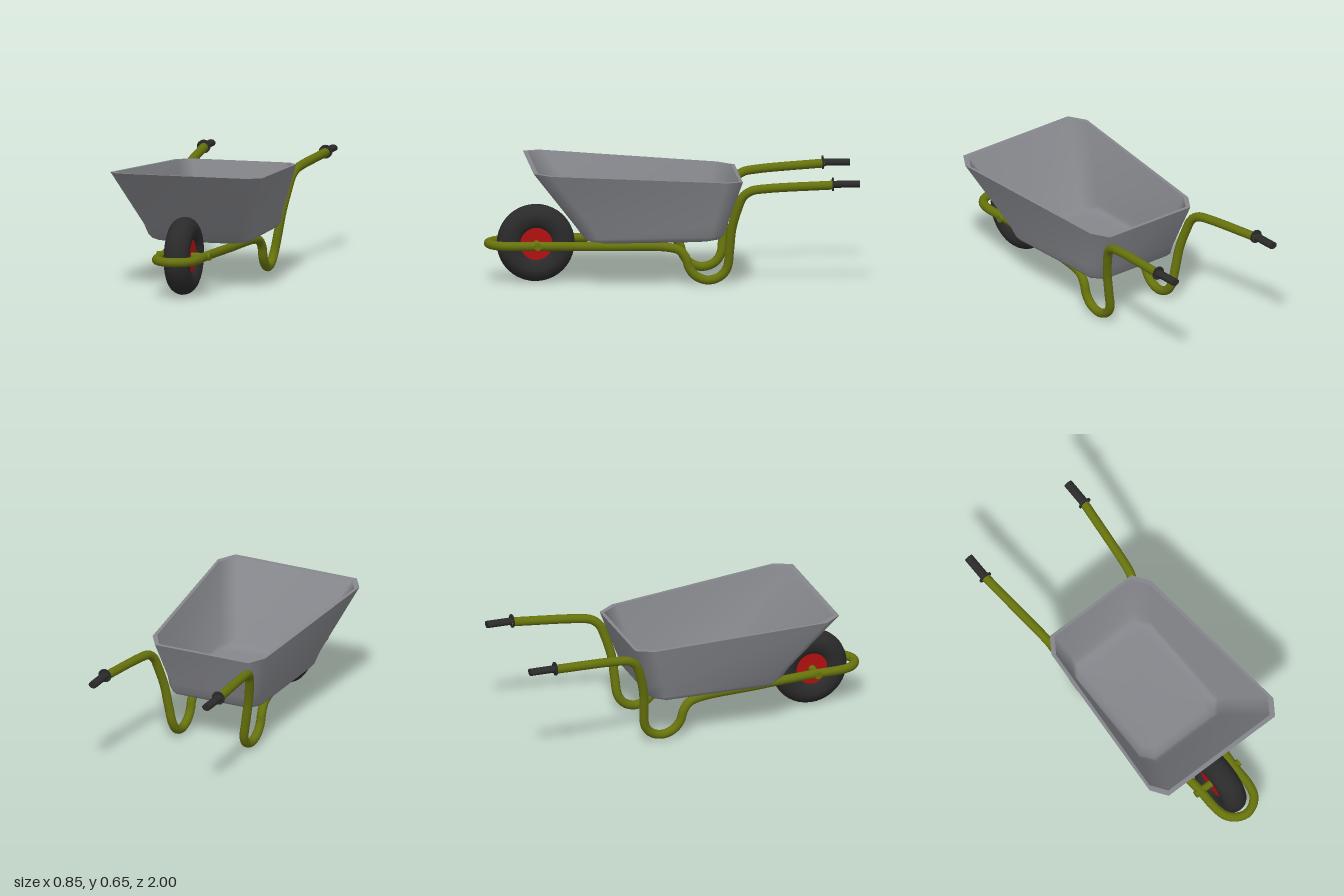
import * as THREE from 'three';

const material = (name, color, side = THREE.FrontSide) => {
  const m = new THREE.MeshStandardMaterial({ color, side });
  m.name = name;
  return m;
};

// Horizontal loop with cut corners; back and front widths may differ, y may slope along z
function ring(zBack, zFront, xBack, xFront, cx, cz, y) {
  const half = [[xFront - cx, zFront], [xFront, zFront - cz], [xBack, zBack + cz], [xBack - cx, zBack]];
  const all = [...half, ...half.map(([x, z]) => [-x, z]).reverse()];
  return all.map(([x, z]) => [x, typeof y === 'function' ? y(z) : y, z]);
}

// Smooth skin through a list of rings
function loft(rings) {
  const n = rings[0].length, index = [];
  for (let i = 0; i < rings.length - 1; i++) {
    for (let j = 0; j < n; j++) {
      const a = i * n + j, b = i * n + (j + 1) % n;
      index.push(a, b, b + n, a, b + n, a + n);
    }
  }
  const g = new THREE.BufferGeometry();
  g.setAttribute('position', new THREE.Float32BufferAttribute(rings.flat(2), 3));
  g.setIndex(index);
  g.computeVertexNormals();
  return g;
}

export function createModel() {
  const root = new THREE.Group();
  root.name = 'wheelbarrow';
  const gray = material('trayGray', 0x85868b);
  const olive = material('frameOlive', 0x66720c);
  const rubber = material('blackRubber', 0x2a2a2a);
  const red = material('hubRed', 0xb01010);

  const add = (parent, name, geometry, mat) => {
    const mesh = new THREE.Mesh(geometry, mat);
    mesh.name = name;
    parent.add(mesh);
    return mesh;
  };

  // Tray: outer shell, rim and inner shell
  const tray = new THREE.Group();
  tray.name = 'tray';
  root.add(tray);
  const rimY = z => 0.575 + (z + 0.37) * 0.067;
  const outerRim = ring(-0.375, 0.76, 0.34, 0.425, 0.06, 0.09, rimY);
  const innerRim = ring(-0.357, 0.735, 0.322, 0.407, 0.06, 0.09, rimY);
  add(tray, 'trayOuter', loft([
    ring(0.1, 0.1, 0, 0, 0, 0, 0.24),
    ring(-0.19, 0.4, 0.21, 0.22, 0.04, 0.05, 0.24),
    ring(-0.25, 0.452, 0.262, 0.27, 0.05, 0.06, 0.253),
    ring(-0.275, 0.478, 0.277, 0.287, 0.055, 0.07, 0.275),
    ring(-0.295, 0.52, 0.285, 0.303, 0.06, 0.08, 0.335),
    outerRim,
  ]), gray);
  add(tray, 'trayRim', loft([outerRim, innerRim]), gray);
  add(tray, 'trayInner', loft([
    innerRim,
    ring(-0.277, 0.498, 0.268, 0.285, 0.06, 0.08, 0.345),
    ring(-0.258, 0.458, 0.26, 0.27, 0.055, 0.07, 0.29),
    ring(-0.235, 0.435, 0.247, 0.255, 0.05, 0.06, 0.27),
    ring(-0.18, 0.39, 0.2, 0.21, 0.04, 0.05, 0.26),
    ring(0.1, 0.1, 0, 0, 0, 0, 0.26),
  ]), gray);

  // Frame: one bent pipe from handle to handle around the wheel
  const half = [
    [0.055, 0.212, 0.957], [0.095, 0.212, 0.915], [0.112, 0.212, 0.85], [0.116, 0.212, 0.7],
    [0.155, 0.212, 0.35], [0.195, 0.212, 0.03], [0.205, 0.195, -0.04], [0.21, 0.155, -0.073],
    [0.21, 0.1, -0.09], [0.21, 0.053, -0.13], [0.21, 0.032, -0.195], [0.21, 0.053, -0.26],
    [0.215, 0.1, -0.295], [0.232, 0.2, -0.307], [0.252, 0.32, -0.318], [0.274, 0.43, -0.347],
    [0.287, 0.497, -0.375], [0.297, 0.53, -0.42], [0.306, 0.543, -0.5], [0.34, 0.564, -0.86],
  ].map(p => new THREE.Vector3(...p));
  const mirrored = half.map(p => new THREE.Vector3(-p.x, p.y, p.z)).reverse();
  const path = new THREE.CatmullRomCurve3([...mirrored, new THREE.Vector3(0, 0.212, 0.975), ...half]);
  add(root, 'frame', new THREE.TubeGeometry(path, 260, 0.0245, 14), olive);

  // Handle grips with thin flanges
  for (const s of [1, -1]) {
    const grip = new THREE.Group();
    grip.name = s > 0 ? 'leftGrip' : 'rightGrip';
    grip.position.set(s * 0.341, 0.568, -0.855);
    root.add(grip);
    const handle = add(grip, 'gripSleeve', new THREE.CylinderGeometry(0.025, 0.025, 0.145, 16), rubber);
    handle.rotation.x = Math.PI / 2;
    handle.scale.z = 0.76;
    handle.position.z = -0.0725;
    const flange = add(grip, 'gripFlange', new THREE.CylinderGeometry(0.037, 0.037, 0.008, 20), rubber);
    flange.rotation.x = Math.PI / 2;
  }

  // Wheel: round-shouldered tyre, red hub and axle
  const wheel = new THREE.Group();
  wheel.name = 'wheel';
  wheel.position.set(0, 0.213, 0.72);
  wheel.rotation.z = Math.PI / 2;
  root.add(wheel);
  const profile = [[0.085, -0.04], [0.093, -0.052], [0.112, -0.064]];
  for (let i = 0; i <= 12; i++) {
    const a = -Math.PI / 2 + (i / 12) * Math.PI;
    profile.push([0.14 + 0.07 * Math.cos(a), 0.07 * Math.sin(a)]);
  }
  profile.push([0.112, 0.064], [0.093, 0.052], [0.085, 0.04]);
  add(wheel, 'tyre', new THREE.LatheGeometry(profile.map(p => new THREE.Vector2(...p)), 40), rubber);
  add(wheel, 'hub', new THREE.CylinderGeometry(0.09, 0.09, 0.088, 32), red);
  add(wheel, 'axle', new THREE.CylinderGeometry(0.02, 0.02, 0.3, 16), olive);

  return root;
}
